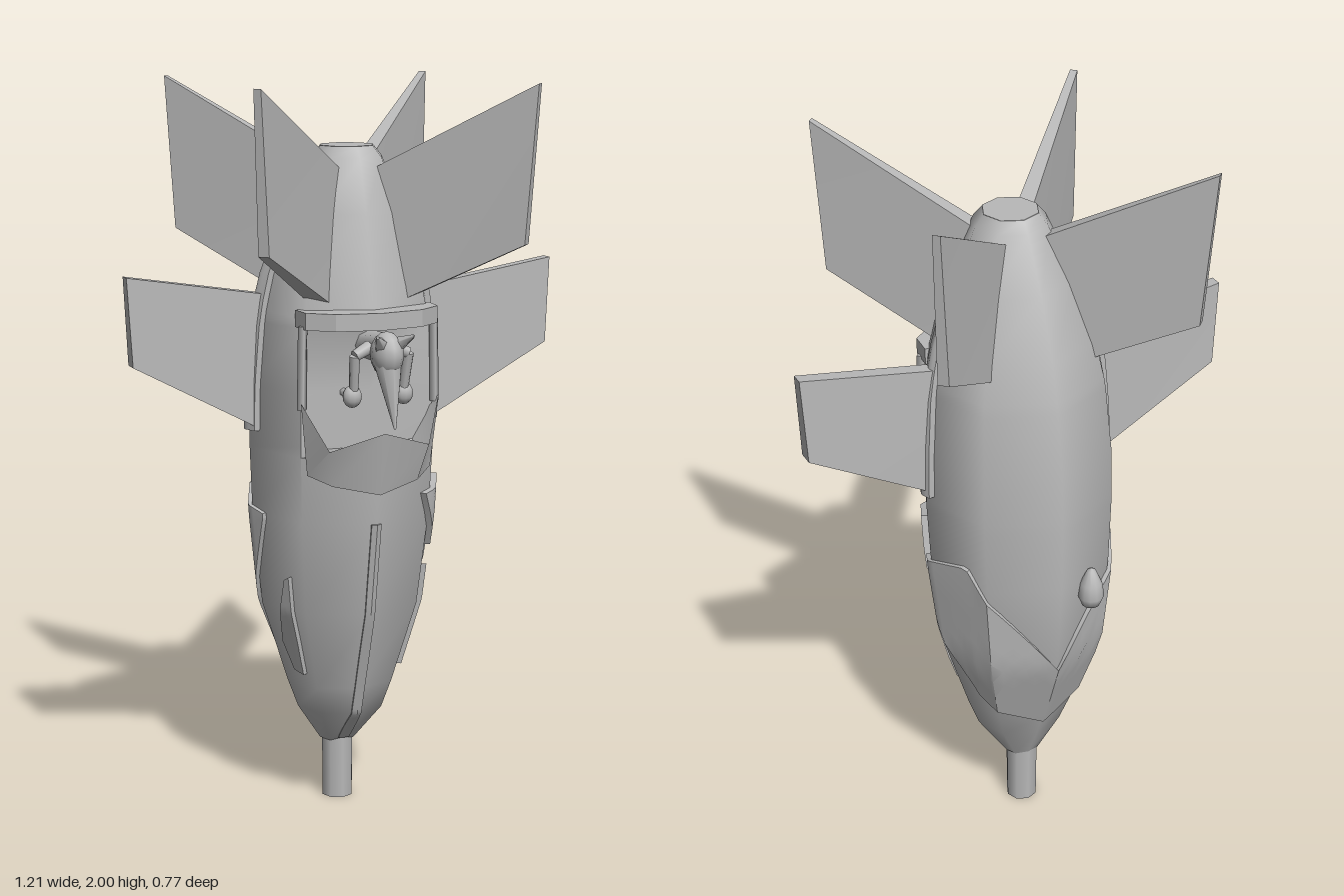
import * as THREE from 'three';
import { toCreasedNormals } from 'three/addons/utils/BufferGeometryUtils.js';

const hullGrey = new THREE.MeshStandardMaterial({ color: 0xb8b8b8, side: THREE.DoubleSide });
hullGrey.name = 'hull grey';

// Hull stations: height, half width, back z, front z, centre z
const HULL = [
  [0.17, 0.05, -0.115, -0.035, -0.075], [0.28, 0.125, -0.168, 0.075, -0.05],
  [0.36, 0.155, -0.2, 0.1, -0.05], [0.59, 0.228, -0.285, 0.175, -0.05],
  [0.85, 0.257, -0.305, 0.22, -0.04], [1.03, 0.265, -0.305, 0.235, -0.035],
  [1.06, 0.265, -0.304, 0.165, -0.035], [1.2, 0.262, -0.298, 0.165, -0.035],
  [1.37, 0.248, -0.272, 0.165, -0.03], [1.4, 0.244, -0.265, 0.2, -0.03],
  [1.5, 0.22, -0.24, 0.175, -0.025], [1.66, 0.165, -0.175, 0.142, -0.01],
  [1.8, 0.1, -0.1, 0.1, 0], [1.83, 0.075, -0.075, 0.075, 0],
];

// Corner of the eight-sided hull; 0 = front, 2 = left, 4 = back, 6 = right
function corner(i, [, rx, zb, zf, cz]) {
  i = ((i % 8) + 8) % 8;
  const s = i > 4 ? -1 : 1, k = Math.min(i, 8 - i), d = 0.707;
  return [[0, zf], [s * d * rx, cz + d * rx], [s * rx, cz], [s * d * rx, cz + d * (zb - cz)], [0, zb]][k];
}

// Point on the hull at position a around it and height y, raised by off
function skin(a, y, off = 0) {
  let j = 0;
  while (j < HULL.length - 2 && HULL[j + 1][0] < y) j++;
  const f = (y - HULL[j][0]) / (HULL[j + 1][0] - HULL[j][0]);
  const row = HULL[j].map((v, n) => v + (HULL[j + 1][n] - v) * f);
  const i = Math.floor(a), p = corner(i, row), q = corner(i + 1, row);
  const x = p[0] + (q[0] - p[0]) * (a - i), z = p[1] + (q[1] - p[1]) * (a - i);
  const l = Math.hypot(x, z - row[4]) || 1;
  return [x + (x / l) * off, y, z + ((z - row[4]) / l) * off];
}

// Grid surface from a point function
function grid(fn, nu, nv, crease) {
  const pos = [], idx = [], w = nu + 1;
  for (let v = 0; v <= nv; v++) for (let u = 0; u <= nu; u++) pos.push(...fn(u, v));
  for (let v = 0; v < nv; v++) for (let u = 0; u < nu; u++) {
    const a = v * w + u;
    idx.push(a, a + 1, a + w + 1, a, a + w + 1, a + w);
  }
  const g = new THREE.BufferGeometry();
  g.setAttribute('position', new THREE.Float32BufferAttribute(pos, 3));
  g.setIndex(idx);
  return toCreasedNormals(g, crease);
}

// Raised plate following the hull; each station is [a0, y0, a1, y1]
function plate(stations, thick) {
  const M = 6, U = (stations.length - 1) * M, V = 6;
  return grid((u, v) => {
    const edge = u === 0 || v === 0 || u === U + 2 || v === V + 2;
    const uu = Math.min(Math.max(u - 1, 0), U), vv = Math.min(Math.max(v - 1, 0), V) / V;
    const i = Math.min(Math.floor(uu / M), stations.length - 2), f = uu / M - i;
    const s = stations[i].map((c, n) => c + (stations[i + 1][n] - c) * f);
    return skin(s[0] + (s[2] - s[0]) * vv, s[1] + (s[3] - s[1]) * vv, edge ? -0.012 : thick);
  }, U + 2, V + 2, 0.7);
}

// Flat blade; corners are [out, y, thickness]: root low, tip low, tip high, root high
function blade(c) {
  const g = new THREE.BoxGeometry(1, 1, 1), p = g.attributes.position;
  for (let i = 0; i < p.count; i++) {
    const tip = p.getX(i) > 0, high = p.getY(i) > 0;
    const [x, y, t] = high ? (tip ? c[2] : c[3]) : (tip ? c[1] : c[0]);
    p.setXYZ(i, x, y, Math.sign(p.getZ(i)) * t / 2);
  }
  g.computeVertexNormals();
  return g;
}

// Tapered rod between two points
function rod(from, to, r0, r1, sides = 8) {
  const a = new THREE.Vector3(...from), d = new THREE.Vector3(...to).sub(a);
  const g = new THREE.CylinderGeometry(r1, r0, d.length(), sides);
  g.applyQuaternion(new THREE.Quaternion().setFromUnitVectors(new THREE.Vector3(0, 1, 0), d.clone().normalize()));
  return g.translate(...a.addScaledVector(d, 0.5).toArray());
}

const ball = (x, y, z, sx, sy, sz) => new THREE.SphereGeometry(1, 12, 8).scale(sx, sy, sz).translate(x, y, z);

export function createModel() {
  const model = new THREE.Group();
  const add = (name, geo, parent = model) => {
    const m = new THREE.Mesh(geo, hullGrey);
    m.name = name;
    parent.add(m);
    return m;
  };

  // Hull, end cap and nose pipe
  add('hull', grid((u, v) => skin(u, HULL[v][0]), 8, HULL.length - 1, 1.0));
  add('tailCap', new THREE.CylinderGeometry(0.075, 0.075, 0.004, 8).translate(0, 1.829, 0));
  add('nosePipe', new THREE.CylinderGeometry(0.046, 0.044, 0.22, 8).translate(0, 0.11, -0.072));
  add('frontRidge', plate(HULL.slice(0, 5).reverse().map((h, i) => {
    const y = i === 4 ? 0.18 : h[0], a = Math.min(0.0135 / (0.707 * h[1]), 0.35);
    return [-a, y, a, y];
  }), 0.006));

  // Four diagonal tail fins
  for (let i = 0; i < 4; i++) {
    const fin = add('tailFin', blade([[0.17, 1.43, 0.065], [0.505, 1.59, 0.03], [0.535, 2, 0.02], [0.09, 1.775, 0.045]]));
    fin.rotation.y = Math.PI / 4 + i * Math.PI / 2;
  }

  // Side wings with root rails, and the low side strakes
  for (const s of [1, -1]) {
    const side = s > 0 ? 'left' : 'right';
    const mirror = (list) => s > 0 ? list : list.map(([a, y, b, z]) => [-b, z, -a, y]);
    const wing = add(side + 'Wing', blade([[0.22, 1.07, 0.055], [0.593, 1.27, 0.045], [0.605, 1.505, 0.035], [0.2, 1.44, 0.04]]));
    wing.position.z = -0.024;
    if (s < 0) { wing.rotation.y = Math.PI; }
    add(side + 'WingRail', plate(mirror([[1.8, 1.7, 2.25, 1.7], [1.8, 1.5, 2.12, 1.5], [1.8, 1.08, 2.14, 1.08]]), 0.016));
    add(side + 'Strake', plate(mirror([[1.27, 0.69, 1.36, 0.68], [1.25, 0.6, 1.5, 0.58],
      [1.24, 0.5, 1.62, 0.49], [1.25, 0.4, 1.5, 0.41]]), 0.016));
  }

  // Band wrapped around the back, side hatch and rear bump
  const half = [[1.72, 0.84, 0.855], [2.1, 0.6, 0.875], [2.6, 0.44, 0.903], [2.7, 0.43, 0.9], [3, 0.4, 0.82], [4, 0.345, 0.58]];
  const band = [...half, ...half.slice(0, -1).reverse().map(([a, l, h]) => [8 - a, l, h])];
  add('backBand', plate(band.map(([a, l, h]) => [a, l, a, h]), 0.012));
  add('sideHatch', plate([[1.1, 0.755, 0.82, 0.91], [1.6, 0.79, 1.45, 0.94]], 0.018));
  add('rearBump', new THREE.LatheGeometry([[0, -0.06], [0.025, -0.052], [0.036, -0.025], [0.03, 0.015], [0.012, 0.055], [0, 0.062]]
    .map(([x, y]) => new THREE.Vector2(x, y)), 12).translate(-0.1, 0.82, -0.283));

  // Cockpit hood, given as centre, middle and side of each row
  const rows = [
    [[0, 0.935, 0.2], [0.12, 0.96, 0.16], [0.165, 0.985, 0.13]],
    [[0, 0.935, 0.245], [0.12, 0.96, 0.21], [0.175, 0.985, 0.165]],
    [[0, 1.105, 0.275], [0.14, 1.06, 0.24], [0.195, 1.18, 0.175]],
    [[0, 1.05, 0.16], [0.12, 1.05, 0.155], [0.17, 1.13, 0.14]],
  ];
  add('cockpitHood', grid((u, v) => {
    const [x, y, z] = rows[v][Math.abs(u - 2)];
    return [u < 2 ? -x : x, y, z];
  }, 4, 3, 0.8));

  // Cockpit top bar and side rims
  const bar = new THREE.Shape([[-0.19, -0.12], [-0.185, -0.185], [-0.12, -0.235], [0, -0.258],
    [0.12, -0.235], [0.185, -0.185], [0.19, -0.12]].map(([x, y]) => new THREE.Vector2(x, y)));
  add('cockpitTopBar', new THREE.ExtrudeGeometry(bar, { depth: 0.045, bevelEnabled: false })
    .rotateX(-Math.PI / 2).translate(0, 1.373, 0));
  for (const s of [1, -1]) add('cockpitRim', rod([s * 0.188, 1.16, 0.16], [s * 0.184, 1.38, 0.16], 0.013, 0.013, 4));

  // Pilot: head, long beak, ears, arms and hands
  const pilot = new THREE.Group();
  pilot.name = 'pilot';
  model.add(pilot);
  add('pilotHead', ball(0, 1.315, 0.285, 0.042, 0.06, 0.055), pilot);
  add('pilotBeak', rod([0, 1.3, 0.29], [0, 1.13, 0.342], 0.04, 0.003), pilot);
  add('pilotBody', rod([0, 1.32, 0.15], [0, 1.34, 0.27], 0.04, 0.03), pilot);
  for (const s of [1, -1]) {
    add('pilotEar', rod([s * 0.02, 1.34, 0.3], [s * 0.05, 1.37, 0.345], 0.022, 0.004, 5), pilot);
    add('pilotUpperArm', rod([s * 0.03, 1.33, 0.24], [s * 0.075, 1.31, 0.25], 0.018, 0.015), pilot);
    add('pilotForearm', rod([s * 0.075, 1.31, 0.25], [s * 0.07, 1.21, 0.23], 0.014, 0.012), pilot);
    add('pilotHand', ball(s * 0.072, 1.2, 0.225, 0.026, 0.03, 0.022), pilot);
    add('controlStick', rod([s * 0.07, 1.2, 0.15], [s * 0.07, 1.2, 0.22], 0.012, 0.01, 6), pilot);
  }
  return model;
}
